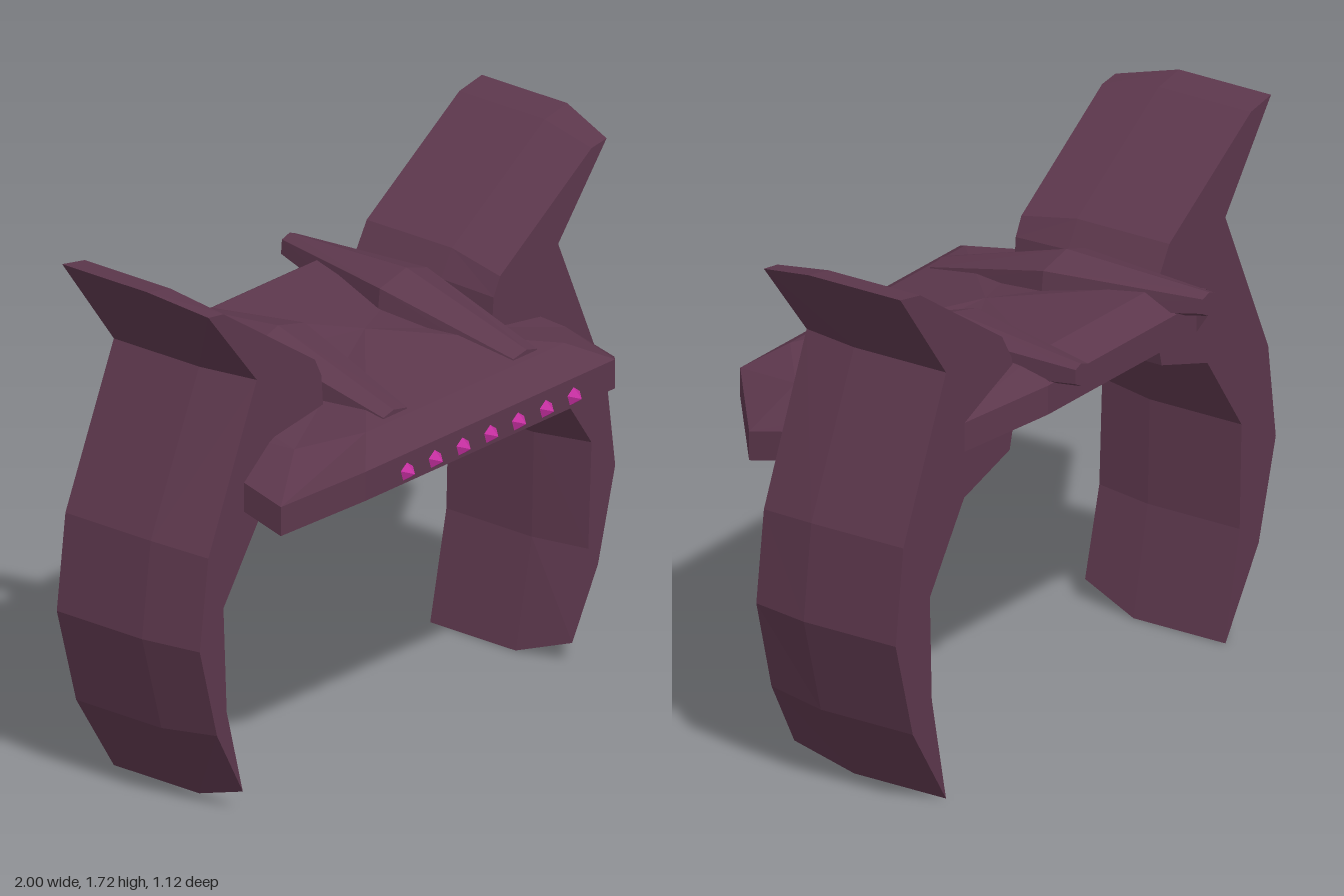
import * as THREE from 'three';

const bodyMat = new THREE.MeshStandardMaterial({ color: 0x5c374c, flatShading: true });
bodyMat.name = 'dark plum';
const gemMat = new THREE.MeshStandardMaterial({ color: 0xc42f9f, flatShading: true });
gemMat.name = 'magenta';

// Mesh from a list of corner triples; side = -1 mirrors it in x
function meshFrom(name, tris, side = 1) {
  const pos = [];
  for (const [a, b, c] of tris) {
    for (const p of side > 0 ? [a, b, c] : [a, c, b]) pos.push(p[0] * side, p[1], p[2]);
  }
  const geo = new THREE.BufferGeometry();
  geo.setAttribute('position', new THREE.Float32BufferAttribute(pos, 3));
  geo.computeVertexNormals();
  const mesh = new THREE.Mesh(geo, bodyMat);
  mesh.name = name;
  return mesh;
}

// Side walls between successive counter-clockwise loops
function walls(rings) {
  const tris = [];
  for (let i = 0; i + 1 < rings.length; i++) {
    const lo = rings[i], hi = rings[i + 1], n = lo.length;
    for (let j = 0; j < n; j++) {
      const k = (j + 1) % n;
      tris.push([lo[j], lo[k], hi[k]], [lo[j], hi[k], hi[j]]);
    }
  }
  return tris;
}

// Flat cap of a loop facing +z, or -z when flipped
function cap(ring, flip) {
  const pts = ring.map(p => new THREE.Vector2(p[0], p[1]));
  return THREE.ShapeUtils.triangulateShape(pts, []).map(([a, b, c]) =>
    flip ? [ring[a], ring[c], ring[b]] : [ring[a], ring[b], ring[c]]);
}

function solid(name, rings, side) {
  return meshFrom(name, [...cap(rings[0], true), ...walls(rings), ...cap(rings.at(-1), false)], side);
}

// Wing outline: full x, y and the inset x, y of the front face
const WING = [
  [0.735, 0.01, 0.765, 0.08], [0.91, 0.28, 0.885, 0.3], [1, 0.6, 0.965, 0.6],
  [0.96, 0.91, 0.925, 0.895], [0.735, 1.41, 0.7, 1.41], [0.975, 1.73, 0.925, 1.685],
  [0.87, 1.71, 0.855, 1.675], [0.44, 1.425, 0.43, 1.39], [0.39, 1.34, 0.4, 1.33],
  [0.36, 1.2, 0.39, 1.2], [0.4, 1.04, 0.41, 1.075], [0.64, 0.965, 0.655, 1.0],
  [0.82, 0.7, 0.855, 0.71], [0.81, 0.36, 0.84, 0.365],
];

function wing(side) {
  const full = z => WING.map(([x, y]) => [x, y, z]);
  const front = WING.map(([, , x, y]) => [x, y, 0.2]);
  return solid('wing', [full(-0.34), full(0), front], side);
}

// Spindle rail: six-sided sections along z
function rail(side) {
  const sections = [ // z, centre x, centre y, half width, half height
    [-0.56, 0.333, 1.317, 0.035, 0.038],
    [-0.06, 0.28, 1.29, 0.12, 0.1],
    [0.41, 0.3, 1.205, 0.06, 0.04],
  ];
  const rings = sections.map(([z, cx, cy, w, h]) =>
    [[0.15, 1], [-0.88, 0.7], [-1, -0.5], [0, -1], [1, -0.5], [0.95, 0.7]]
      .map(([u, v]) => [cx + u * w, cy + v * h, z]));
  return solid('rail', rings, side);
}

// Faceted deck: underside, rim, raised inner ring and a middle point
function deck() {
  const loop = half => [...half, ...half.slice().reverse().map(([x, y, z]) => [-x, y, z])];
  const rimHalf = [[0.58, 1.16, 0.53], [0.775, 1.06, 0.36], [0.71, 1.19, -0.3], [0.39, 1.28, -0.475]];
  const rim = loop(rimHalf);
  const under = loop(rimHalf.map(([x, y, z]) => [x, y - 0.095, z]));
  const inner = loop([[0.46, 1.225, 0.43], [0.63, 1.185, 0.29], [0.56, 1.26, -0.24], [0.31, 1.34, -0.38]]);
  const mid = [0, 1.31, 0.03];
  const tris = walls([under, rim, inner]);
  inner.forEach((p, i) => tris.push([p, inner[(i + 1) % inner.length], mid]));
  for (const [a, b, c] of [[1, 2, 3], [1, 3, 4], [1, 4, 5], [1, 5, 7], [1, 7, 0], [5, 6, 7]]) {
    tris.push([under[a], under[c], under[b]]);
  }
  return meshFrom('deck', tris);
}

export function createModel() {
  const model = new THREE.Group();
  model.name = 'wingedCraft';
  model.add(deck());
  for (const side of [1, -1]) model.add(wing(side), rail(side));

  // Row of pointed lights on the front edge
  const gemGeo = new THREE.ConeGeometry(0.032, 0.035, 5);
  gemGeo.rotateX(Math.PI / 2);
  gemGeo.rotateZ(Math.PI);
  for (let i = -3; i <= 3; i++) {
    const gem = new THREE.Mesh(gemGeo, gemMat);
    gem.name = 'frontLight';
    gem.position.set(i * 0.129, 1.1, 0.545);
    model.add(gem);
  }
  return model;
}
